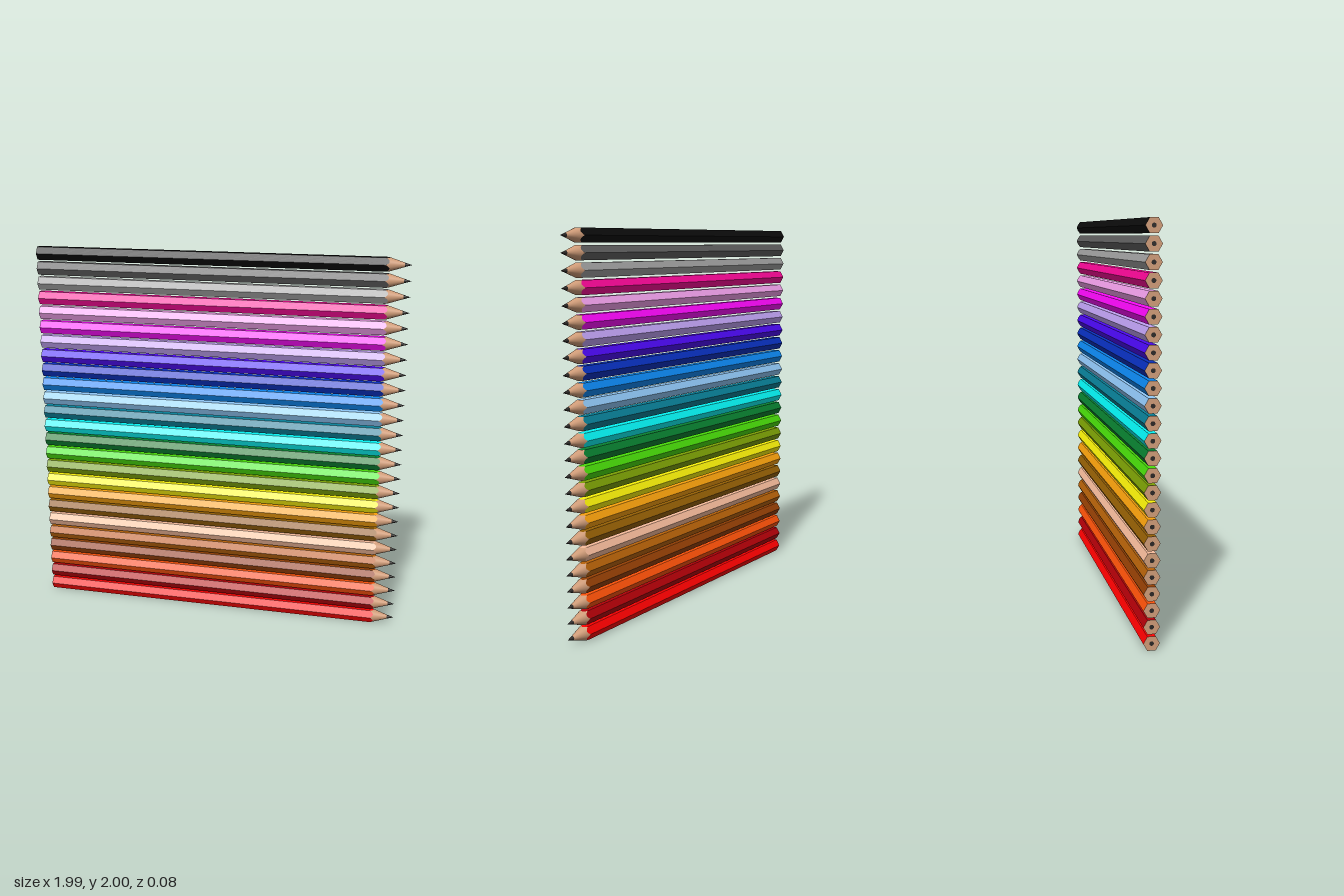
import * as THREE from 'three';

const R = 0.04;                       // hexagon corner radius
const APOTHEM = R * Math.cos(Math.PI / 6);
const BACK = -0.995, TIP = 0.995;     // pencil ends along x
const TAPER = 0.125;                  // cone length at the corner radius
const LEAD = 0.011;                   // lead radius
const SIDES = 36;                     // points around, six per flat face

// Pencil colours from bottom to top
const COLORS = [
  0xff0000, 0xb40008, 0xff5208, 0x964004, 0xb86208, 0xf8bc9c, 0x966004,
  0xfaa20c, 0xfaf208, 0x7ca004, 0x48dc08, 0x088030, 0x04f6f6, 0x088098,
  0x90c8f8, 0x0c88f2, 0x0830c0, 0x4c08f4, 0xc0a2f4, 0xfa08fa, 0xf4a2ee,
  0xfa0898, 0xa0a0a0, 0x606060, 0x0c0c0c,
];

// Radius of the hexagonal section at angle a (corners at a = 0, 60, ...)
const hex = (a) => {
  const third = Math.PI / 3;
  return APOTHEM / Math.cos((a % third) - third / 2);
};
const coneX = (r) => TIP - (r * TAPER) / R;

// Skin a series of rings; each ring maps an angle to [x, radius]
function loft(rings) {
  const pos = [], index = [];
  rings.forEach((ring) => {
    for (let j = 0; j < SIDES; j++) {
      const a = (j / SIDES) * Math.PI * 2;
      const [x, r] = ring(a);
      pos.push(x, r * Math.sin(a), r * Math.cos(a));
    }
  });
  for (let i = 0; i < rings.length - 1; i++) {
    for (let j = 0; j < SIDES; j++) {
      const k = (j + 1) % SIDES;
      const a = i * SIDES + j, b = i * SIDES + k;
      index.push(a, a + SIDES, b + SIDES, a, b + SIDES, b);
    }
  }
  const g = new THREE.BufferGeometry();
  g.setAttribute('position', new THREE.Float32BufferAttribute(pos, 3));
  g.setIndex(index);
  g.computeVertexNormals();
  return g;
}

export function createModel() {
  const model = new THREE.Group();
  model.name = 'pencilSet';

  const wood = new THREE.MeshStandardMaterial({ color: 0xd09c78 });
  const graphite = new THREE.MeshStandardMaterial({ color: 0x2a2624 });

  const backRim = (a) => [BACK, hex(a)];
  const cut = (a) => [coneX(hex(a)), hex(a)];     // scalloped sharpening line
  const leadStart = () => [coneX(LEAD), LEAD];
  const backCore = () => [BACK, LEAD];

  const bodyGeo = loft([backRim, cut]);
  const parts = [
    ['sharpenedWood', loft([cut, leadStart]), wood],
    ['leadTip', loft([leadStart, () => [TIP, 0.0005]]), graphite],
    ['woodEnd', loft([backCore, backRim]), wood],
    ['leadEnd', loft([() => [BACK, 0], backCore]), graphite],
  ];

  // Stack of identical pencils, one per colour
  const step = (2 - 2 * APOTHEM) / (COLORS.length - 1);
  COLORS.forEach((color, i) => {
    const pencil = new THREE.Group();
    pencil.name = `pencil${i + 1}`;
    const paint = new THREE.MeshStandardMaterial({ color, flatShading: true });
    [['paintedBody', bodyGeo, paint], ...parts].forEach(([name, geo, mat]) => {
      const mesh = new THREE.Mesh(geo, mat);
      mesh.name = name;
      pencil.add(mesh);
    });
    pencil.position.y = APOTHEM + i * step;
    model.add(pencil);
  });
  return model;
}
